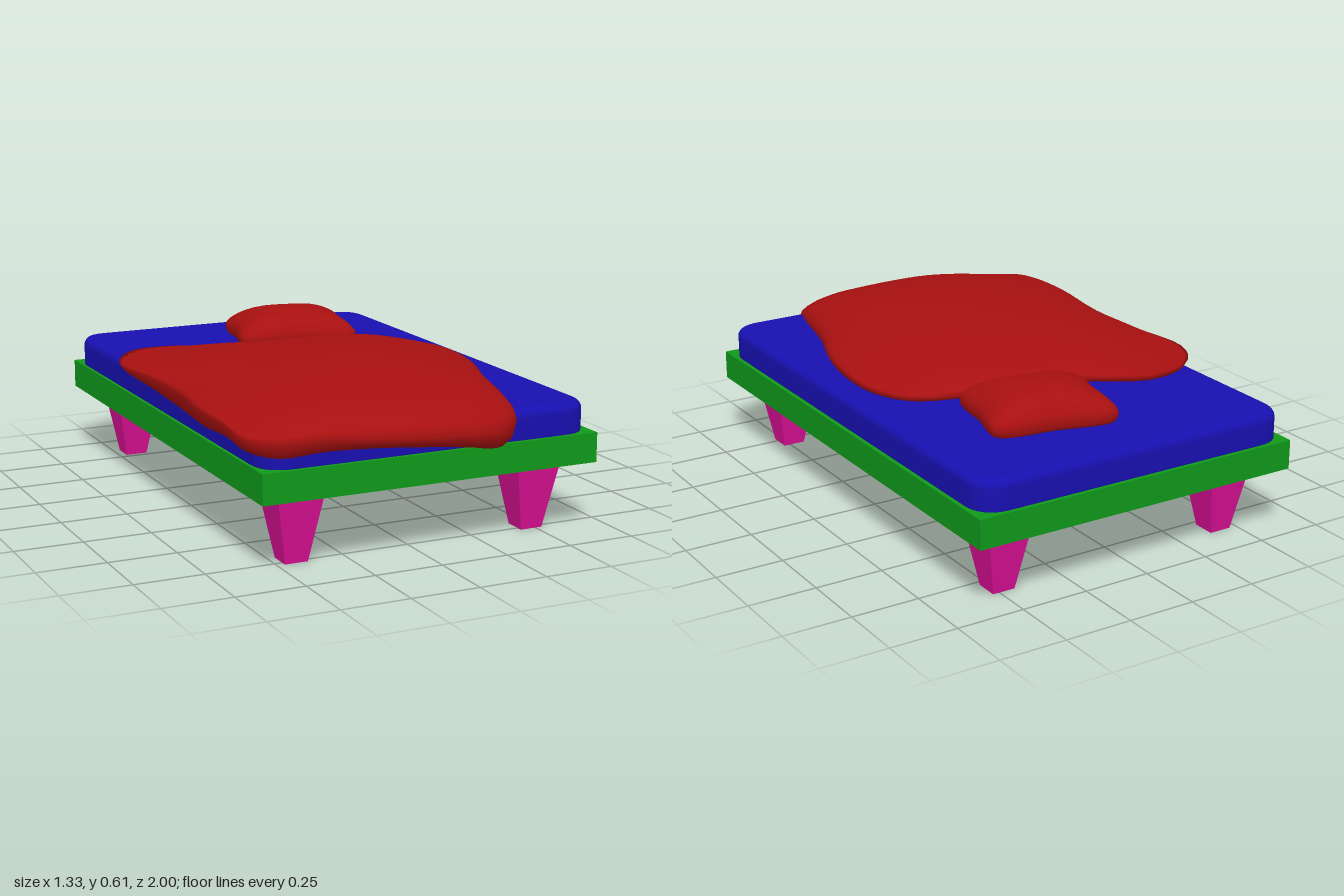
import * as THREE from 'three';

const material = (color) => new THREE.MeshStandardMaterial({ color });
const green = material(0x10981a), blue = material(0x1810b0), red = material(0xa81010), pink = material(0xdc1096);

function add(group, name, geometry, mat, x = 0, y = 0, z = 0) {
  const mesh = new THREE.Mesh(geometry, mat);
  mesh.name = name;
  mesh.position.set(x, y, z);
  group.add(mesh);
  return mesh;
}

// Stuffed cloth: rings shrink from an outline [x, edgeY, z, bottomY] to the centre,
// over the domed top and back along the underside.
function cushion(outline, cx, cz, height, power, innerY, count) {
  const edge = new THREE.CatmullRomCurve3(outline.map(([x, y, z]) => new THREE.Vector3(x, y, z)), true, 'centripetal');
  const hem = new THREE.CatmullRomCurve3(outline.map(([x, , z, b]) => new THREE.Vector3(x, b, z)), true, 'centripetal');
  const top = [0.001, 0.15, 0.3, 0.45, 0.58, 0.7, 0.8, 0.87, 0.92, 0.96, 0.985, 1];
  const under = [[0.985, 0.6], [0.955, 0.9], [0.92, 1], [0.87, 0.9]];
  const pos = [], index = [];
  const ring = (t, yAt) => {
    for (let j = 0; j < count; j++) {
      const p = edge.getPoint(j / count), b = hem.getPoint(j / count).y;
      const x = cx + (p.x - cx) * t, z = cz + (p.z - cz) * t;
      pos.push(x, yAt(x, z, p.y, b), z);
    }
  };
  for (const t of top) {
    const puff = Math.sqrt(Math.max(0, 1 - t ** power));
    ring(t, (x, z, e) => e + (height(x, z) - e) * puff);
  }
  for (const [t, k] of under) ring(t, (x, z, e, b) => e + (b - e) * k);
  ring(0.78, () => innerY);
  ring(0.001, () => innerY);
  const rings = pos.length / 3 / count;
  for (let i = 0; i < rings - 1; i++) {
    for (let j = 0; j < count; j++) {
      const k = (j + 1) % count;
      const a = i * count + j, b = i * count + k, c = a + count, d = b + count;
      index.push(a, b, c, b, d, c);
    }
  }
  const g = new THREE.BufferGeometry();
  g.setAttribute('position', new THREE.Float32BufferAttribute(pos, 3));
  g.setIndex(index);
  g.computeVertexNormals();
  return g;
}

// Rounded slab with soft edges, lying flat
function mattressGeometry(w, d, h, r, bevel) {
  const x = w / 2 - bevel, y = d / 2 - bevel;
  const s = new THREE.Shape();
  s.moveTo(-x + r, -y);
  s.lineTo(x - r, -y).quadraticCurveTo(x, -y, x, -y + r);
  s.lineTo(x, y - r).quadraticCurveTo(x, y, x - r, y);
  s.lineTo(-x + r, y).quadraticCurveTo(-x, y, -x, y - r);
  s.lineTo(-x, -y + r).quadraticCurveTo(-x, -y, -x + r, -y);
  const g = new THREE.ExtrudeGeometry(s, {
    depth: h - 2 * bevel, bevelThickness: bevel, bevelSize: bevel, bevelSegments: 5, curveSegments: 8,
  });
  return g.translate(0, 0, bevel).rotateX(-Math.PI / 2);
}

export function createModel() {
  const bed = new THREE.Group();
  bed.name = 'bed';

  add(bed, 'frame', new THREE.BoxGeometry(1.27, 0.107, 1.895), green, 0.03, 0.305, -0.053);
  add(bed, 'mattress', mattressGeometry(1.244, 1.865, 0.135, 0.08, 0.03), blue, 0.028, 0.333, -0.053);

  // Square legs that taper toward the floor
  const leg = new THREE.CylinderGeometry(0.087 * Math.SQRT2, 0.042 * Math.SQRT2, 0.254, 4, 1).toNonIndexed();
  leg.rotateY(Math.PI / 4);
  leg.computeVertexNormals();
  for (const x of [-0.43, 0.483])
    for (const z of [0.73, -0.813]) add(bed, 'leg', leg, pink, x, 0.127, z);

  // Blanket spread askew and hanging over the foot and one side
  const blanketOutline = [
    [-0.66, 0.49, -0.3, 0.46], [-0.545, 0.495, -0.475, 0.46], [-0.37, 0.49, -0.51, 0.46],
    [-0.12, 0.485, -0.375, 0.46], [0.17, 0.485, -0.325, 0.46], [0.46, 0.485, -0.245, 0.46],
    [0.55, 0.49, -0.11, 0.46], [0.562, 0.49, 0.06, 0.46], [0.52, 0.485, 0.29, 0.455],
    [0.44, 0.48, 0.51, 0.45], [0.37, 0.465, 0.78, 0.42], [0.335, 0.44, 0.9, 0.365],
    [0.26, 0.425, 0.97, 0.355], [0.15, 0.43, 0.995, 0.375], [-0.2, 0.45, 0.985, 0.41],
    [-0.4, 0.46, 0.935, 0.405], [-0.56, 0.455, 0.9, 0.39], [-0.65, 0.47, 0.85, 0.41],
    [-0.665, 0.49, 0.7, 0.43], [-0.665, 0.49, 0.5, 0.42], [-0.63, 0.485, 0.2, 0.41], [-0.64, 0.49, -0.05, 0.43],
  ];
  const blanketHeight = (x, z) => {
    const dx = x - 0.03, dz = z - 0.4;
    return 0.602 - (dx < 0 ? 0.16 : 0.22) * dx * dx - (dz < 0 ? 0.11 : 0.13) * dz * dz
      + 0.004 * Math.sin(9 * x + 5 * z);
  };
  add(bed, 'blanket', cushion(blanketOutline, -0.07, 0.25, blanketHeight, 4, 0.43, 88), red);

  // Pillow with slightly pinched sides, turned a little
  const quarter = [[-0.235, -0.12], [-0.228, -0.165], [-0.185, -0.188], [0, -0.178]];
  const half = [...quarter, ...quarter.slice(0, 3).reverse().map(([x, z]) => [-x, z]), [0.225, 0]];
  const pillowOutline = [...half, ...half.map(([x, z]) => [-x, -z])].map(([x, z]) => [x, 0.03, z, 0]);
  const pillowHeight = (x, z) => 0.128 - 0.35 * x * x - 0.6 * z * z;
  const pillow = add(bed, 'pillow', cushion(pillowOutline, 0, 0, pillowHeight, 3, -0.01, 64), red, 0.157, 0.469, -0.562);
  pillow.rotation.y = -0.2;

  return bed;
}
